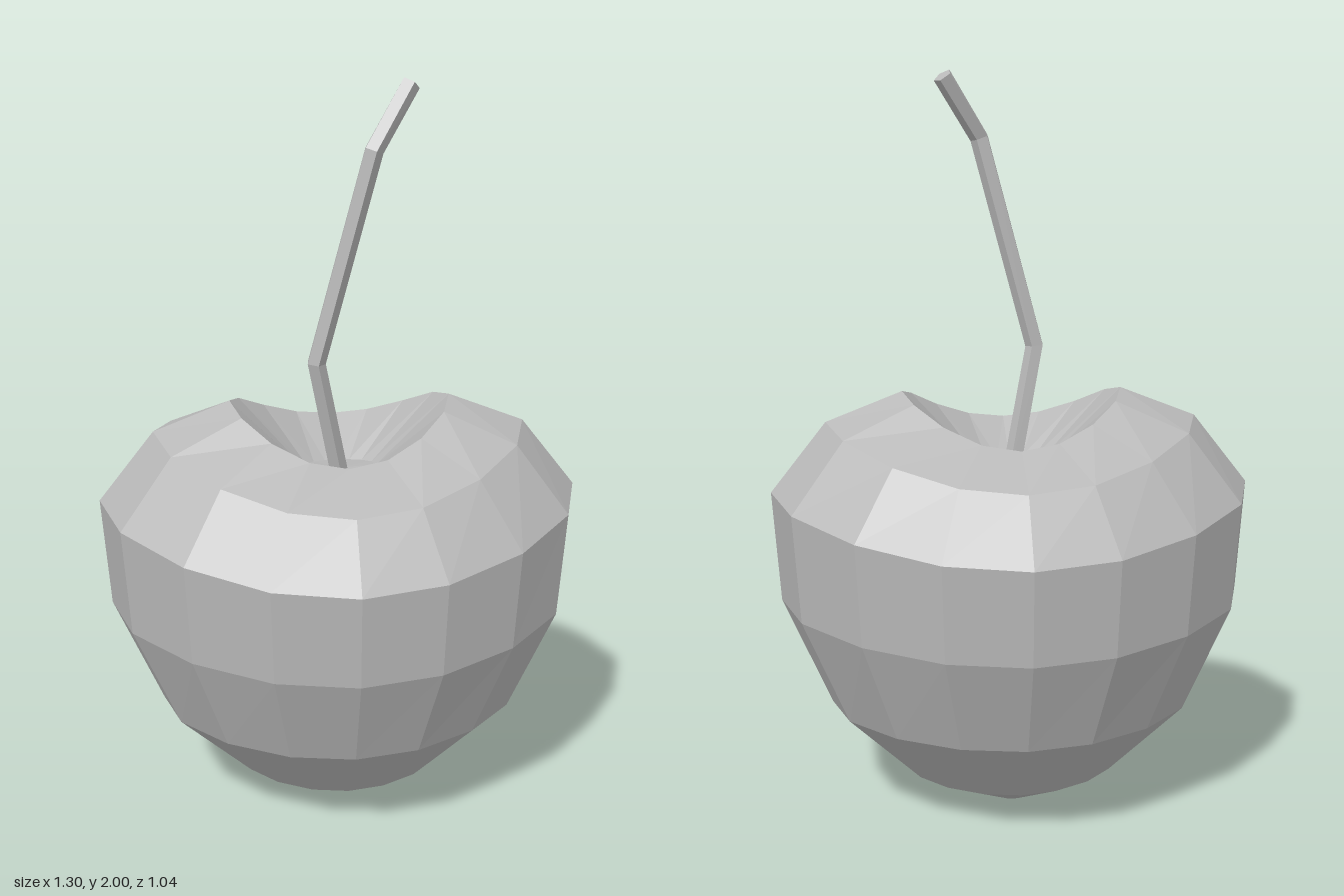
import * as THREE from 'three';

// Skin a stack of equal-length rings (bottom to top, counterclockwise seen from above), capping both ends.
function loft(rings) {
  const n = rings[0].length;
  const pos = [];
  const tri = (a, b, c) => [a, b, c].forEach((p) => pos.push(p.x, p.y, p.z));
  const middle = (ring) => ring.reduce((s, p) => s.add(p), new THREE.Vector3()).divideScalar(n);
  const first = rings[0];
  const last = rings[rings.length - 1];
  const bottom = middle(first);
  const top = middle(last);
  for (let i = 0; i < n; i++) {
    const j = (i + 1) % n;
    for (let k = 0; k < rings.length - 1; k++) {
      const lo = rings[k];
      const hi = rings[k + 1];
      tri(lo[i], lo[j], hi[j]);
      tri(lo[i], hi[j], hi[i]);
    }
    tri(bottom, first[j], first[i]);
    tri(top, last[i], last[j]);
  }
  const geometry = new THREE.BufferGeometry();
  geometry.setAttribute('position', new THREE.Float32BufferAttribute(pos, 3));
  geometry.computeVertexNormals();
  return geometry;
}

// Oval ring whose left and right sides are raised into a saddle.
function fruitRing([rx, rz, yFront, ySide]) {
  const ring = [];
  for (let i = 0; i < 16; i++) {
    const a = (i / 16) * Math.PI * 2;
    const s = Math.sin(a);
    const f = s * (0.87 + 0.13 * s * s);
    ring.push(new THREE.Vector3(rx * f, yFront + (ySide - yFront) * f * f, rz * Math.cos(a)));
  }
  return ring;
}

// Five-sided rings set square to a bent path.
function stemRings(path, radius) {
  return path.map((p, k) => {
    const before = path[Math.max(k - 1, 0)];
    const after = path[Math.min(k + 1, path.length - 1)];
    const dir = after.clone().sub(before).normalize();
    const turn = new THREE.Quaternion().setFromUnitVectors(new THREE.Vector3(0, 1, 0), dir);
    return Array.from({ length: 5 }, (_, i) => {
      const a = (i / 5) * Math.PI * 2 + 0.2;
      return new THREE.Vector3(Math.sin(a) * radius, 0, Math.cos(a) * radius).applyQuaternion(turn).add(p);
    });
  });
}

export function createModel() {
  const model = new THREE.Group();
  model.name = 'cherry';
  const grey = new THREE.MeshStandardMaterial({ color: 0xb8b8b8, flatShading: true });
  grey.name = 'grey';

  // Fruit: x radius, z radius, height at front and back, height at the sides
  const profile = [
    [0.05, 0.04, 0, 0],
    [0.29, 0.23, 0.1, 0.1],
    [0.5, 0.4, 0.3, 0.3],
    [0.63, 0.505, 0.565, 0.6],
    [0.65, 0.52, 0.815, 0.9],
    [0.5, 0.4, 0.975, 1.09],
    [0.295, 0.237, 1.05, 1.17],
    [0.1, 0.08, 0.965, 0.975], // floor of the hollow
  ];
  const fruit = new THREE.Mesh(loft(profile.map(fruitRing)), grey);
  fruit.name = 'fruit';

  // Bent stem rising from the hollow
  const path = [
    new THREE.Vector3(0, 0.94, 0),
    new THREE.Vector3(-0.068, 1.28, 0.05),
    new THREE.Vector3(0.078, 1.83, 0.064),
    new THREE.Vector3(0.178, 1.987, 0.005),
  ];
  const stem = new THREE.Mesh(loft(stemRings(path, 0.026)), grey);
  stem.name = 'stem';

  model.add(fruit, stem);
  return model;
}
